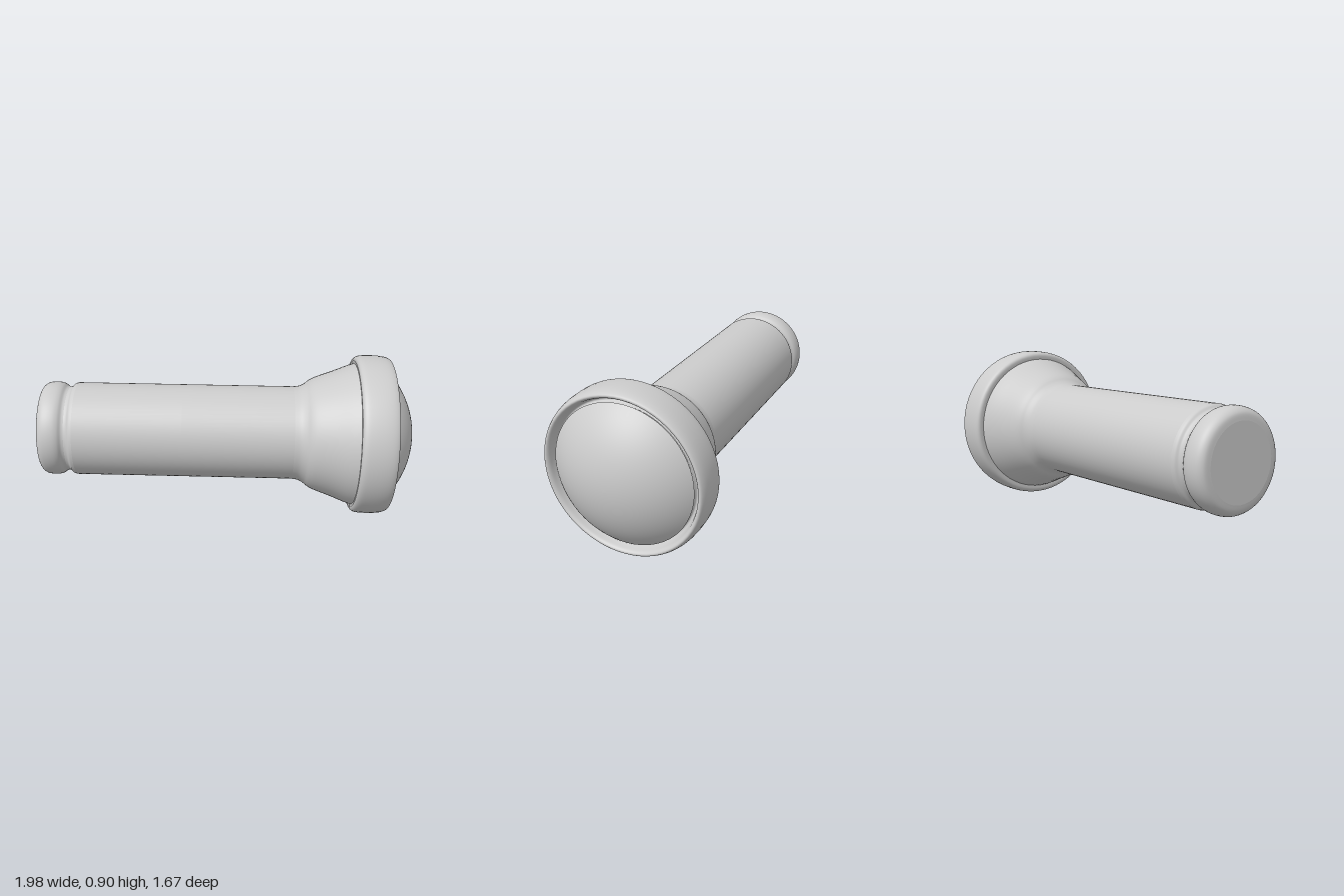
import * as THREE from 'three';

const material = new THREE.MeshStandardMaterial({ color: 0xcccccc, side: THREE.DoubleSide });

// Turned part from [radius, distance along the axis] pairs, softened by a spline
function turned(name, pairs, samples) {
  const points = pairs.map(([r, s]) => new THREE.Vector2(r, s));
  const profile = samples ? new THREE.SplineCurve(points).getPoints(samples) : points;
  profile.forEach((p) => { p.x = Math.max(p.x, 0); });
  const mesh = new THREE.Mesh(new THREE.LatheGeometry(profile, 64), material);
  mesh.name = name;
  return mesh;
}

export function createModel() {
  const torch = new THREE.Group();
  torch.name = 'flashlight';

  // Flat end and rounded tail cap, ending in the groove
  torch.add(turned('tailFace', [[0, 0], [0.1, 0], [0.2, 0]]));
  torch.add(turned('tailCap', [
    [0.2, 0], [0.235, 0.006], [0.257, 0.028], [0.265, 0.06],
    [0.264, 0.095], [0.256, 0.12], [0.242, 0.138], [0.238, 0.152],
  ], 36));

  // Straight barrel with a softened rear edge
  torch.add(turned('barrel', [
    [0.238, 0.152], [0.243, 0.168], [0.257, 0.182], [0.263, 0.2],
  ], 14));
  torch.add(turned('barrelTube', [[0.263, 0.2], [0.264, 0.8], [0.265, 1.42]]));

  // Flared neck
  torch.add(turned('neck', [
    [0.265, 1.42], [0.27, 1.455], [0.285, 1.485], [0.306, 1.512],
    [0.325, 1.55], [0.36, 1.645], [0.39, 1.72], [0.405, 1.765],
  ], 36));

  // Rounded bezel, turning over into the groove around the lens
  torch.add(turned('bezel', [
    [0.4, 1.762], [0.43, 1.762], [0.446, 1.78], [0.451, 1.82], [0.451, 1.88],
    [0.446, 1.925], [0.436, 1.952], [0.424, 1.958], [0.412, 1.946],
    [0.404, 1.92], [0.396, 1.9], [0.384, 1.898], [0.376, 1.915],
  ], 64));

  // Domed lens: a spherical cap
  const dome = [];
  const radius = 0.52, edge = Math.asin(0.385 / radius);
  for (let i = 0; i <= 20; i++) {
    const a = edge * (1 - i / 20);
    dome.push([radius * Math.sin(a), 2.1 - radius * (1 - Math.cos(a))]);
  }
  torch.add(turned('lens', dome));

  // Lay the turned axis down, pointing to the front left and slightly downward
  const axis = new THREE.Vector3(0.82, -0.019, 0.572).normalize();
  torch.quaternion.setFromUnitVectors(new THREE.Vector3(0, 1, 0), axis);
  torch.position.set(-0.855, 0.487, -0.646);

  const model = new THREE.Group();
  model.add(torch);
  return model;
}
